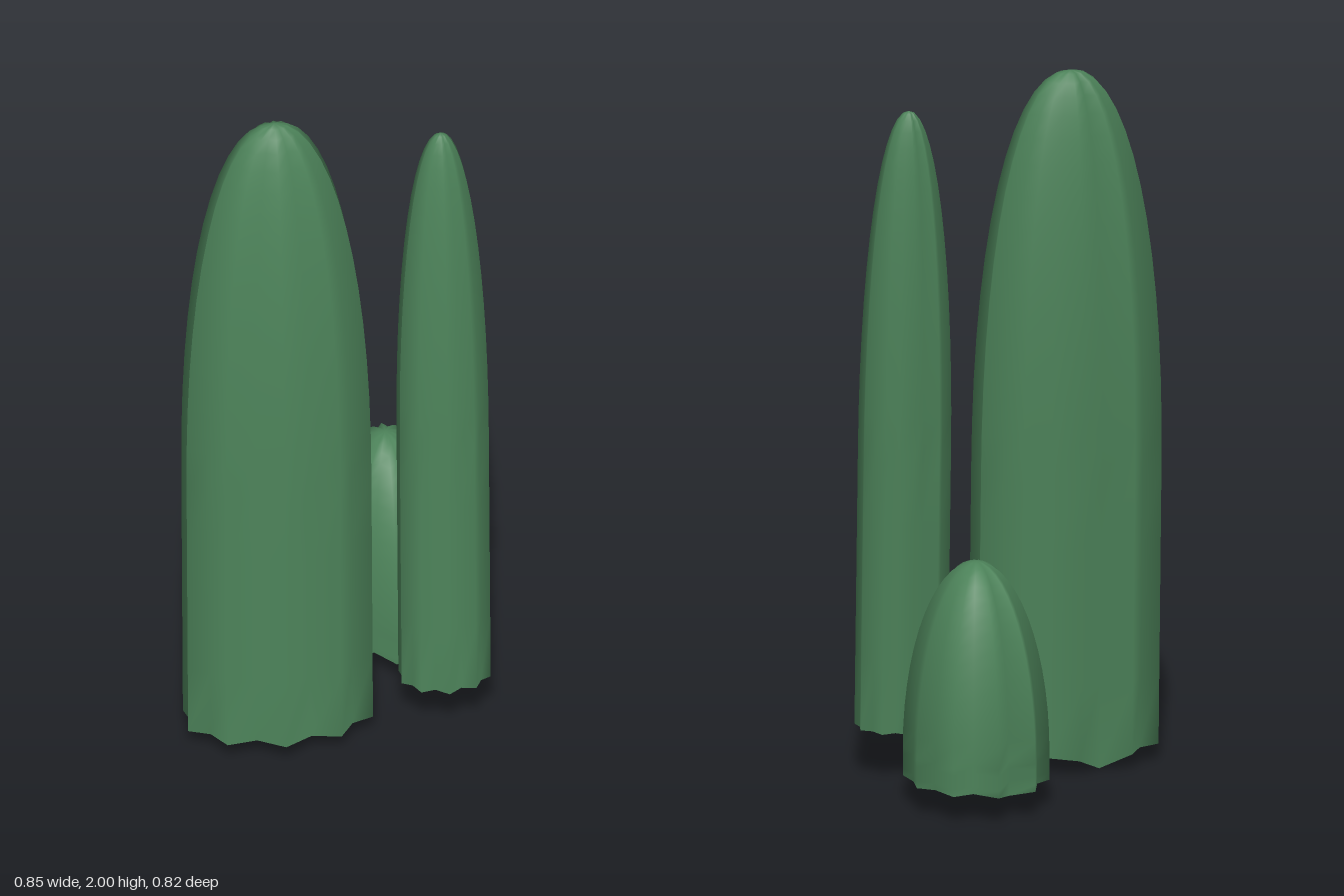
import * as THREE from 'three';

const RIBS = 10;
const SIDES = RIBS * 2;
const SEAM = 11; // back-left groove, cut deeper and hanging a little lower

// Ribbed column: star section, straight below `shoulder`, rounded to an apex above
function ribbedColumn({ rx, rz, height, shoulder, power, dip }) {
  const levels = [0];
  for (let i = 1; i <= 4; i++) levels.push((shoulder * i) / 4);
  const domeRows = 14;
  for (let i = 1; i < domeRows; i++) {
    levels.push(shoulder + (height - shoulder) * Math.sin((i / domeRows) * Math.PI / 2));
  }

  const pos = [];
  const index = [];
  levels.forEach((y, row) => {
    const t = Math.max(0, (y - shoulder) / (height - shoulder));
    const s = Math.pow(1 - Math.pow(t, power), 1 / power);
    for (let i = 0; i < SIDES; i++) {
      const a = (i / SIDES) * Math.PI * 2;
      const groove = i % 2 === 1;
      const fx = groove ? 0.9 : 1;
      const fz = groove ? (i === SEAM ? 0.63 : 0.77) : 1;
      const drop = row === 0 && i === SEAM ? dip : 0;
      pos.push(Math.sin(a) * rx * fx * s, y - drop, Math.cos(a) * rz * fz * s);
    }
  });
  const apex = pos.length / 3;
  pos.push(0, height, 0);

  for (let r = 0; r < levels.length; r++) {
    for (let i = 0; i < SIDES; i++) {
      const a = r * SIDES + i;
      const b = r * SIDES + ((i + 1) % SIDES);
      if (r === levels.length - 1) index.push(a, b, apex);
      else index.push(a, b, b + SIDES, a, b + SIDES, a + SIDES);
    }
  }

  const geo = new THREE.BufferGeometry();
  geo.setAttribute('position', new THREE.Float32BufferAttribute(pos, 3));
  geo.setIndex(index);
  geo.computeVertexNormals();
  return geo;
}

export function createModel() {
  const group = new THREE.Group();
  group.name = 'cactusCluster';
  // Stems are open underneath
  const green = new THREE.MeshStandardMaterial({ color: 0x4c8259, side: THREE.DoubleSide });

  const stems = [
    { name: 'wideStem', at: [-0.168, 0.05, 0.235], tilt: -0.04,
      rx: 0.272, rz: 0.175, height: 1.95, shoulder: 0.8, power: 2.2, dip: 0.045 },
    { name: 'slimStem', at: [0.299, 0.138, 0.23], tilt: -0.048,
      rx: 0.131, rz: 0.11, height: 1.777, shoulder: 0.8, power: 2.1, dip: 0.035 },
    { name: 'shortStem', at: [0.187, 0.075, -0.165], tilt: 0,
      rx: 0.2, rz: 0.2475, height: 0.62, shoulder: 0.08, power: 2, dip: 0.02 },
  ];

  for (const stem of stems) {
    const mesh = new THREE.Mesh(ribbedColumn(stem), green);
    mesh.name = stem.name;
    mesh.position.set(...stem.at);
    mesh.rotation.x = stem.tilt;
    group.add(mesh);
  }
  return group;
}
